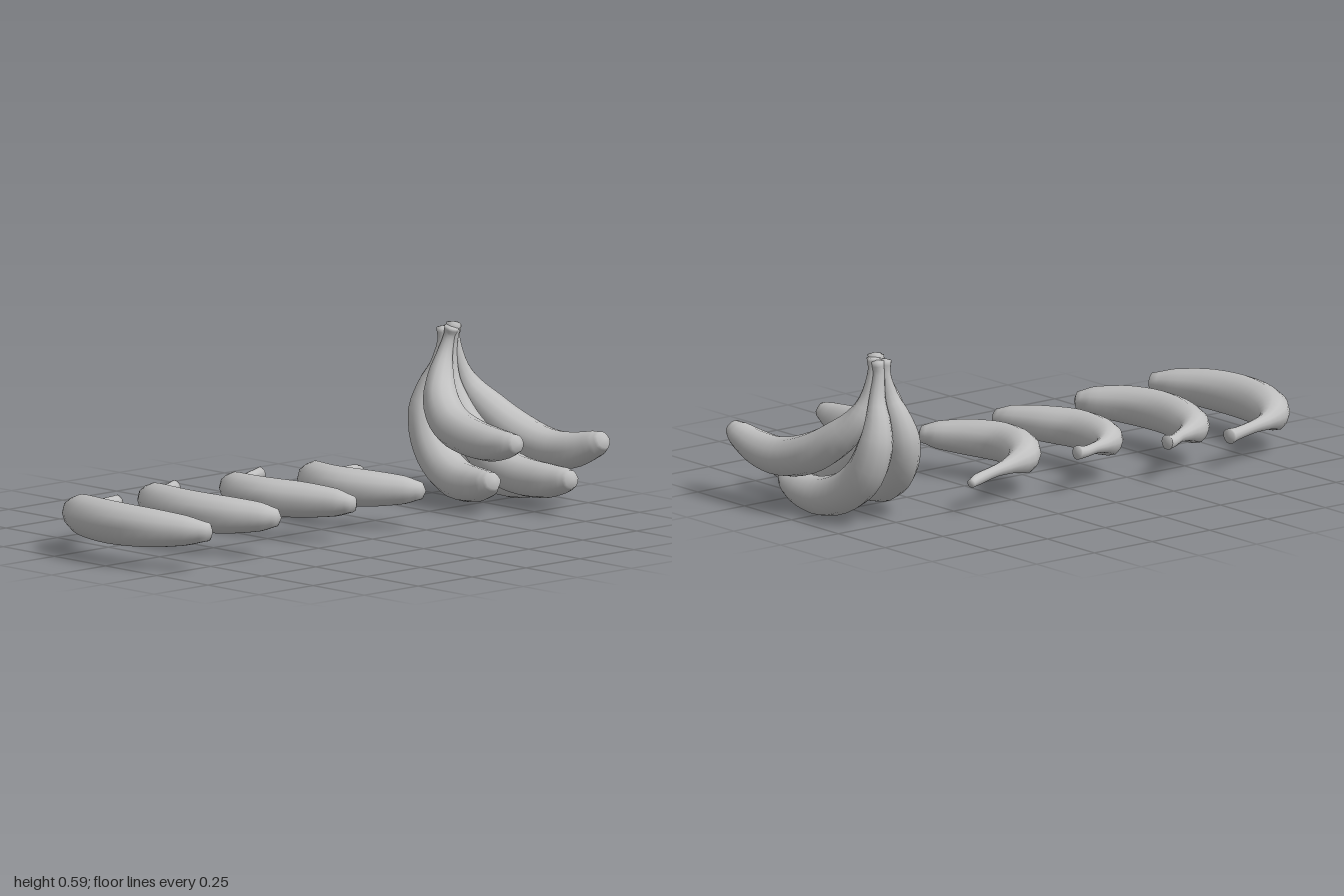
import * as THREE from 'three';

const SIDES = 12, STEPS = 30;

// Sweeps a softly ridged ring along [x, y, z, radius] stations, tip first, stem last.
function bananaGeometry(stations, ref) {
  const path = new THREE.CatmullRomCurve3(stations.map(s => new THREE.Vector3(s[0], s[1], s[2])));
  const girth = new THREE.CatmullRomCurve3(
    stations.map((s, i) => new THREE.Vector3(s[3], i, 0)), false, 'catmullrom', 0.4);
  const pos = [], index = [];
  for (let i = 0; i <= STEPS; i++) {
    const p = path.getPoint(i / STEPS), t = path.getTangent(i / STEPS);
    const r = girth.getPoint(i / STEPS).x;
    const n = ref.clone().addScaledVector(t, -ref.dot(t)).normalize();
    const b = new THREE.Vector3().crossVectors(t, n);
    for (let j = 0; j < SIDES; j++) {
      const a = j / SIDES * Math.PI * 2;
      const k = r * (1 + 0.03 * Math.cos(a * 5));
      const v = p.clone().addScaledVector(n, Math.cos(a) * k).addScaledVector(b, Math.sin(a) * k);
      pos.push(v.x, v.y, v.z);
    }
  }
  for (let i = 0; i < STEPS; i++) {
    for (let j = 0; j < SIDES; j++) {
      const j2 = (j + 1) % SIDES, a = i * SIDES + j, b = i * SIDES + j2;
      index.push(a, b, a + SIDES, b, b + SIDES, a + SIDES);
    }
  }
  // Slightly domed end caps
  for (const end of [0, 1]) {
    const c = path.getPoint(end).addScaledVector(path.getTangent(end), end ? 0.006 : -0.012);
    const centre = pos.length / 3, base = end * STEPS * SIDES;
    pos.push(c.x, c.y, c.z);
    for (let j = 0; j < SIDES; j++) {
      const a = base + j, b = base + (j + 1) % SIDES;
      index.push(centre, end ? a : b, end ? b : a);
    }
  }
  const g = new THREE.BufferGeometry();
  g.setAttribute('position', new THREE.Float32BufferAttribute(pos, 3));
  g.setIndex(index);
  g.computeVertexNormals();
  return g;
}

export function createModel() {
  const model = new THREE.Group();
  const peel = new THREE.MeshStandardMaterial({ color: 0xc0c0c0 });
  peel.name = 'peel grey';
  const add = (parent, name, stations, ref) => {
    const mesh = new THREE.Mesh(bananaGeometry(stations, ref), peel);
    mesh.name = name;
    parent.add(mesh);
  };

  // Four loose bananas lying on their sides: [x, z] stations from tip to stem
  const looseRadii = [0.03, 0.052, 0.066, 0.071, 0.068, 0.056, 0.031, 0.021, 0.021, 0.026];
  const loose = [
    { scale: 1.03, stemY: 0.115, path: [[-.815, .312], [-.86, .23], [-.908, .107], [-.925, -.04], [-.9, -.187],
      [-.855, -.283], [-.797, -.326], [-.717, -.35], [-.62, -.378], [-.585, -.382]] },
    { scale: 0.98, stemY: 0.135, path: [[-.46, .273], [-.497, .22], [-.556, .112], [-.583, -.03], [-.56, -.176],
      [-.52, -.273], [-.465, -.31], [-.406, -.337], [-.345, -.375], [-.32, -.378]] },
    { scale: 0.93, stemY: 0.145, path: [[-.1, .262], [-.123, .2], [-.17, .085], [-.214, -.04], [-.208, -.16],
      [-.176, -.24], [-.128, -.278], [-.07, -.3], [0, -.328], [.03, -.328]] },
    { scale: 0.95, stemY: 0.105, path: [[.243, .238], [.203, .185], [.139, .085], [.1, -.03], [.123, -.144],
      [.176, -.22], [.257, -.25], [.337, -.267], [.428, -.294], [.475, -.313]] },
  ];
  const looseGroup = new THREE.Group();
  looseGroup.name = 'looseBananas';
  loose.forEach(({ scale, stemY, path }, n) => {
    const stations = path.map(([x, z], i) =>
      [x, THREE.MathUtils.lerp(0.134, stemY, Math.max(0, (i - 4) / 5)), z, looseRadii[i] * scale]);
    if (n === 3) stations[9][3] = 0.015;
    add(looseGroup, 'looseBanana' + (n + 1), stations, new THREE.Vector3(0, 1, 0));
  });
  model.add(looseGroup);

  // Bunch of five hanging from joined stems: [x, y, z] stations from tip to stem
  const upperRadii = [0.03, 0.046, 0.061, 0.067, 0.069, 0.062, 0.045, 0.027, 0.02, 0.025];
  const lowerRadii = [0.03, 0.047, 0.06, 0.068, 0.07, 0.068, 0.061, 0.046, 0.029, 0.02, 0.022];
  const bunch = {
    upperRightBanana: [[.61, .26, .315], [.607, .25, .27], [.61, .242, .18], [.625, .25, .06], [.65, .275, -.05],
      [.69, .335, -.14], [.735, .41, -.19], [.768, .485, -.205], [.782, .54, -.2], [.785, .572, -.19]],
    upperLeftBanana: [[.945, .24, .382], [.942, .222, .345], [.932, .19, .25], [.925, .183, .135], [.91, .22, 0],
      [.885, .285, -.105], [.857, .36, -.177], [.832, .437, -.2], [.815, .53, -.21], [.81, .572, -.205]],
    middleBanana: [[.79, .125, .39], [.79, .117, .35], [.785, .106, .26], [.785, .108, .14], [.785, .14, .02],
      [.785, .21, -.08], [.785, .3, -.15], [.79, .4, -.195], [.797, .5, -.205], [.798, .582, -.195]],
    lowerRightBanana: [[.62, .115, .185], [.625, .1, .15], [.64, .086, .08], [.66, .086, -.03], [.69, .125, -.14],
      [.715, .195, -.22], [.735, .285, -.262], [.755, .365, -.262], [.77, .44, -.24], [.785, .52, -.232], [.783, .565, -.232]],
    lowerLeftBanana: [[.882, .105, .18], [.882, .087, .145], [.88, .072, .08], [.877, .07, -.03], [.872, .115, -.15],
      [.867, .185, -.23], [.857, .285, -.27], [.845, .36, -.268], [.828, .437, -.245], [.813, .52, -.235], [.815, .565, -.232]],
  };
  const bunchGroup = new THREE.Group();
  bunchGroup.name = 'bananaBunch';
  for (const [name, path] of Object.entries(bunch)) {
    const radii = path.length === 10 ? upperRadii : lowerRadii;
    add(bunchGroup, name, path.map((p, i) => [...p, radii[i]]), new THREE.Vector3(1, 0, 0));
  }
  model.add(bunchGroup);
  return model;
}
